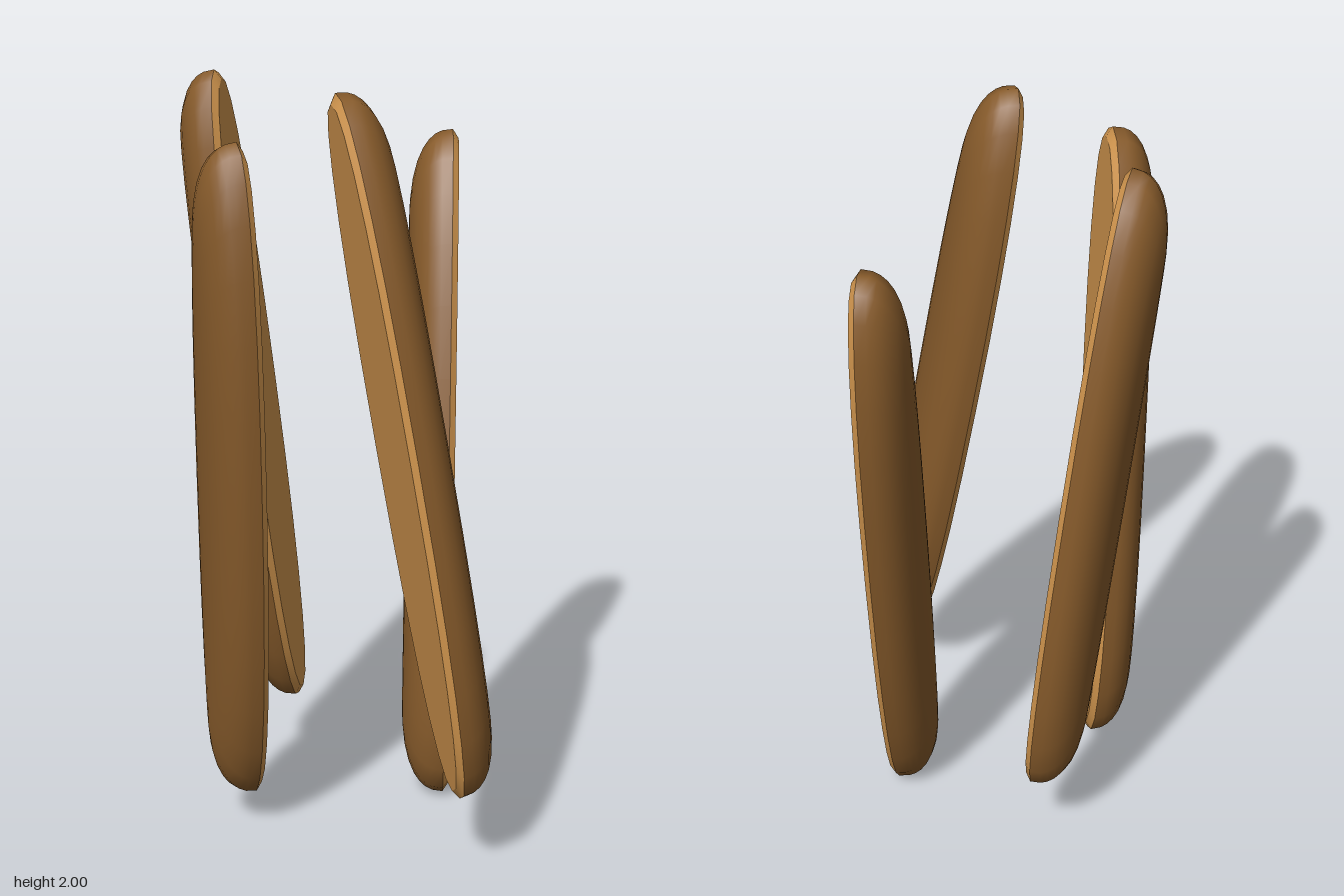
import * as THREE from 'three';

const WIDTH = 0.36, THICK = 0.132, SEG = 28;

// One closed ring of the long blunt oval outline, at height z from the cut face
function ring(halfW, halfL, z) {
  const pts = [];
  const soft = (v) => Math.sign(v) * Math.pow(Math.abs(v), 0.87);
  for (let i = 0; i < SEG; i++) {
    const a = (i / SEG) * Math.PI * 2;
    pts.push([halfW * soft(Math.cos(a)), halfL * soft(Math.sin(a)), z]);
  }
  return pts;
}

// Joins rings in order; "capped" closes the last one with a centre point
function loft(rings, capped, flip) {
  const capZ = rings[rings.length - 1][0][2];
  const pos = [...rings.flat(2), 0, 0, capZ];
  const index = [];
  const tri = (a, b, c) => (flip ? index.push(a, c, b) : index.push(a, b, c));
  const last = (rings.length - 1) * SEG;
  for (let i = 0; i < SEG; i++) {
    const j = (i + 1) % SEG;
    for (let r = 0; r < last; r += SEG) {
      tri(r + i, r + j, r + SEG + j);
      tri(r + i, r + SEG + j, r + SEG + i);
    }
    if (capped) tri(last + i, last + j, rings.length * SEG);
  }
  const geo = new THREE.BufferGeometry();
  geo.setAttribute('position', new THREE.Float32BufferAttribute(pos, 3));
  geo.setIndex(index);
  geo.computeVertexNormals();
  return geo;
}

// Wedge: rounded skin on the back, bevelled rim and flat cut face on the front
function makeWedge(name, top, bottom, facing, skin, flesh) {
  const t = new THREE.Vector3(...top), b = new THREE.Vector3(...bottom);
  const halfL = t.distanceTo(b) / 2, halfW = WIDTH / 2;
  const rimZ = -0.016, domeDepth = THICK + rimZ;

  // The back stays full almost to the ends, so its rings shrink less in length
  const domeRings = [1, 0.985, 0.95, 0.89, 0.8, 0.66, 0.48, 0.25, 0.05].map((r) =>
    ring(halfW * r, halfL * (0.72 + 0.28 * r),
      rimZ - domeDepth * Math.pow(1 - Math.pow(r, 2.4), 1 / 2.4)));
  const rim = ring(halfW, halfL, rimZ);
  const cut = ring(halfW - 0.014, halfL - 0.025, 0);

  const wedge = new THREE.Group();
  wedge.name = name;
  const add = (part, geo, mat) => {
    const mesh = new THREE.Mesh(geo, mat);
    mesh.name = part;
    wedge.add(mesh);
  };
  add('skin', loft(domeRings, true, true), skin);
  add('rim', loft([rim, cut], false, false), flesh);
  add('cutFace', loft([cut], true, false), flesh);

  // Stand the wedge along its axis with the cut face turned to "facing"
  const up = t.clone().sub(b).normalize();
  const side = up.clone().cross(new THREE.Vector3(...facing)).normalize();
  const front = side.clone().cross(up);
  wedge.quaternion.setFromRotationMatrix(new THREE.Matrix4().makeBasis(side, up, front));
  wedge.position.copy(t).add(b).multiplyScalar(0.5);
  return wedge;
}

export function createModel() {
  const skin = new THREE.MeshStandardMaterial({ color: 0x875b2b });
  skin.name = 'brown skin';
  const flesh = new THREE.MeshStandardMaterial({ color: 0xcf944d });
  flesh.name = 'golden flesh';

  const model = new THREE.Group();
  model.name = 'wedges';
  // name, top and bottom end of the cut face, direction the cut face looks
  [
    ['backRightWedge', [-0.385, 2.0, 0.008], [-0.235, 0.2, -0.182], [0.97, 0, -0.2]],
    ['frontRightWedge', [-0.155, 1.89, 0.41], [-0.215, 0.08, 0.22], [0.8, 0, -0.6]],
    ['backLeftWedge', [0.123, 1.8, -0.447], [0.227, 0, -0.097], [0.94, 0, -0.33]],
    ['frontLeftWedge', [0.03, 2.0, 0.304], [0.39, 0.2, 0.36], [-0.82, 0, 0.57]],
  ].forEach((w) => model.add(makeWedge(...w, skin, flesh)));
  return model;
}
